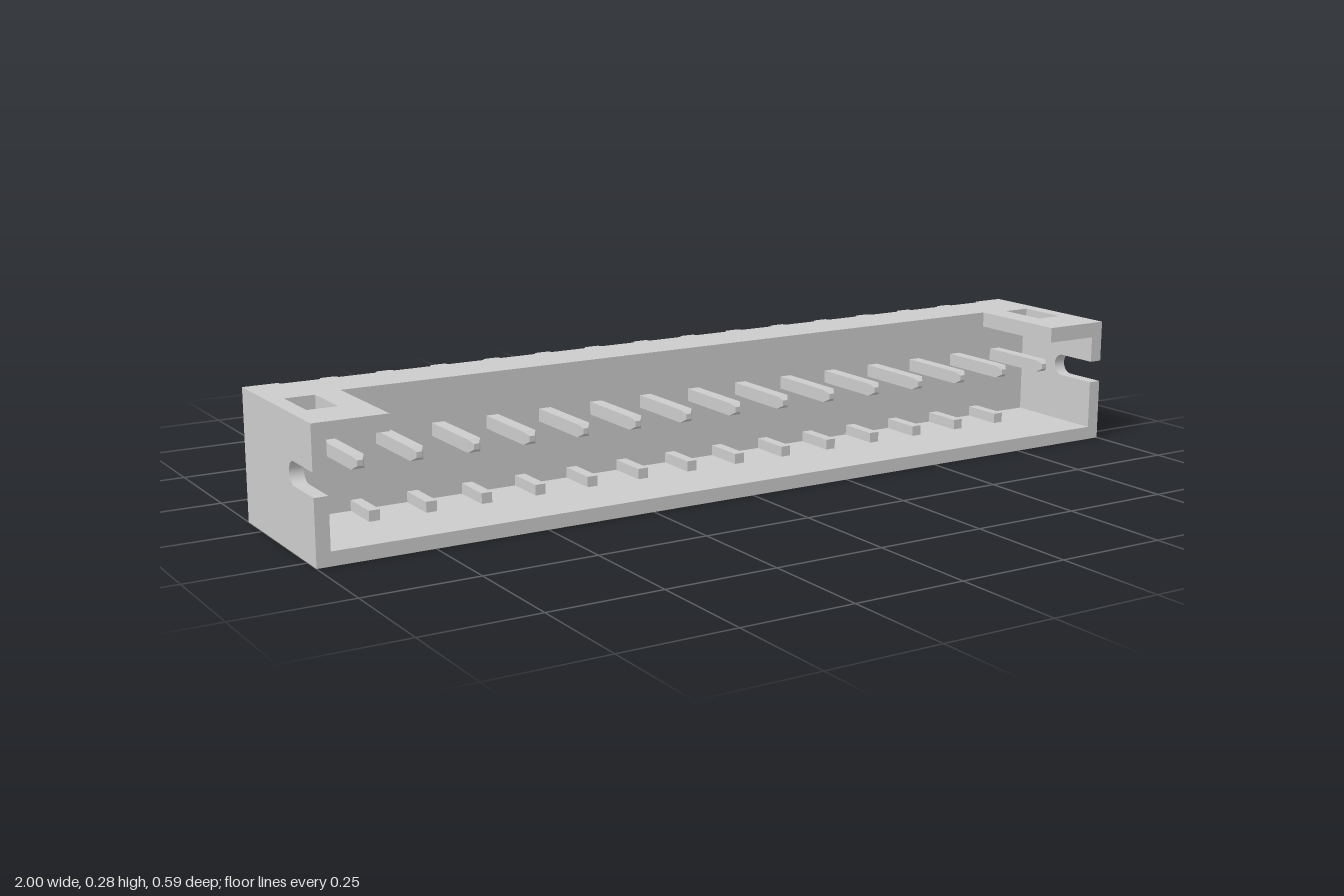
import * as THREE from 'three';

const material = new THREE.MeshStandardMaterial({ color: 0xcccccc, flatShading: true });
const PINS = 15, PITCH = 1.757 / 14;
const pinX = (i) => (i - (PINS - 1) / 2) * PITCH;

function addMesh(parent, geometry, name) {
  const mesh = new THREE.Mesh(geometry, material);
  mesh.name = name;
  parent.add(mesh);
  return mesh;
}

// Box given by its limits on each axis
function box(x0, x1, y0, y1, z0, z1) {
  return new THREE.BoxGeometry(x1 - x0, y1 - y0, z1 - z0)
    .translate((x0 + x1) / 2, (y0 + y1) / 2, (z0 + z1) / 2);
}

const points = (list) => list.map(([a, b]) => new THREE.Vector2(a, b));

// Plan outline in (x, -z), raised from y0 to y1
function slab(shape, y0, y1) {
  return new THREE.ExtrudeGeometry(shape, { depth: y1 - y0, bevelEnabled: false })
    .rotateX(-Math.PI / 2).translate(0, y0, 0);
}

// Square bar through sections [z, centre height, half size]
function pinGeometry(sections) {
  const n = sections.length - 1;
  const geo = new THREE.BoxGeometry(1, 1, 1, 1, 1, n);
  const p = geo.attributes.position;
  for (let i = 0; i < p.count; i++) {
    const [z, y, h] = sections[Math.round((p.getZ(i) + 0.5) * n)];
    p.setXYZ(i, p.getX(i) * 2 * h, y + p.getY(i) * 2 * h, z);
  }
  const flat = geo.toNonIndexed();
  flat.computeVertexNormals();
  return flat;
}

export function createModel() {
  const model = new THREE.Group();
  model.name = 'pinHeader';
  const housing = new THREE.Group();
  housing.name = 'housing';
  model.add(housing);

  addMesh(housing, box(-1, 1, 0, 0.03, -0.08, 0.295), 'floor');

  // Back wall with a shallow vertical recess behind every pin
  const outline = [[-1, -0.05], [1, -0.05], [1, 0.08]];
  for (let i = PINS - 1; i >= 0; i--) {
    const x = pinX(i);
    outline.push([x + 0.046, 0.08], [x + 0.042, 0.07], [x - 0.042, 0.07], [x - 0.046, 0.08]);
  }
  outline.push([-1, 0.08]);
  addMesh(housing, slab(new THREE.Shape(points(outline)), 0.03, 0.285), 'backWall');

  // Side wall with a round-ended slot open to the front
  const side = new THREE.Shape();
  side.moveTo(0.05, 0.03);
  side.lineTo(0.295, 0.03);
  side.lineTo(0.295, 0.14);
  side.lineTo(0.195, 0.14);
  side.absarc(0.195, 0.165, 0.025, -Math.PI / 2, Math.PI / 2, true);
  side.lineTo(0.295, 0.19);
  side.lineTo(0.295, 0.285);
  side.lineTo(0.05, 0.285);
  side.closePath();

  // Top corner plate with a rectangular window
  const corner = new THREE.Shape(points([[-0.065, -0.295], [0.065, -0.295], [0.065, -0.05], [-0.065, -0.05]]));
  corner.holes.push(new THREE.Path(points([[-0.005, -0.185], [-0.005, -0.065], [0.06, -0.065], [0.06, -0.185]])));

  for (const s of [1, -1]) {
    const label = s > 0 ? 'left' : 'right';
    const wall = new THREE.ExtrudeGeometry(side, { depth: 0.03, bevelEnabled: false, curveSegments: 16 })
      .rotateY(-Math.PI / 2).translate(s > 0 ? 1 : -0.97, 0, 0);
    addMesh(housing, wall, label + 'Wall');
    const plate = slab(corner, 0.25, 0.285);
    if (s < 0) plate.rotateZ(Math.PI).translate(0, 0.535, 0);
    plate.translate(s * 0.905, 0, 0);
    addMesh(housing, plate, label + 'TopCorner');
  }

  // Floor ribs halfway between the pins
  for (let i = 0; i < PINS - 1; i++) {
    const x = pinX(i + 0.5);
    addMesh(housing, box(x - 0.012, x + 0.012, 0.03, 0.053, 0.05, 0.145), 'floorRib');
  }

  // Pins with tapered tips; the two end pins have a retaining kink
  const front = [[0.22, 0.178, 0.014], [0.232, 0.178, 0.006]];
  const back = [[-0.295, 0.178, 0.006], [-0.282, 0.178, 0.014]];
  const straight = pinGeometry([...back, ...front]);
  const kinked = pinGeometry([...back, [-0.175, 0.195, 0.014], [-0.14, 0.178, 0.014], ...front]);
  for (let i = 0; i < PINS; i++) {
    const end = i === 0 || i === PINS - 1;
    addMesh(model, end ? kinked : straight, end ? 'kinkedPin' : 'pin').position.x = pinX(i);
  }
  return model;
}
